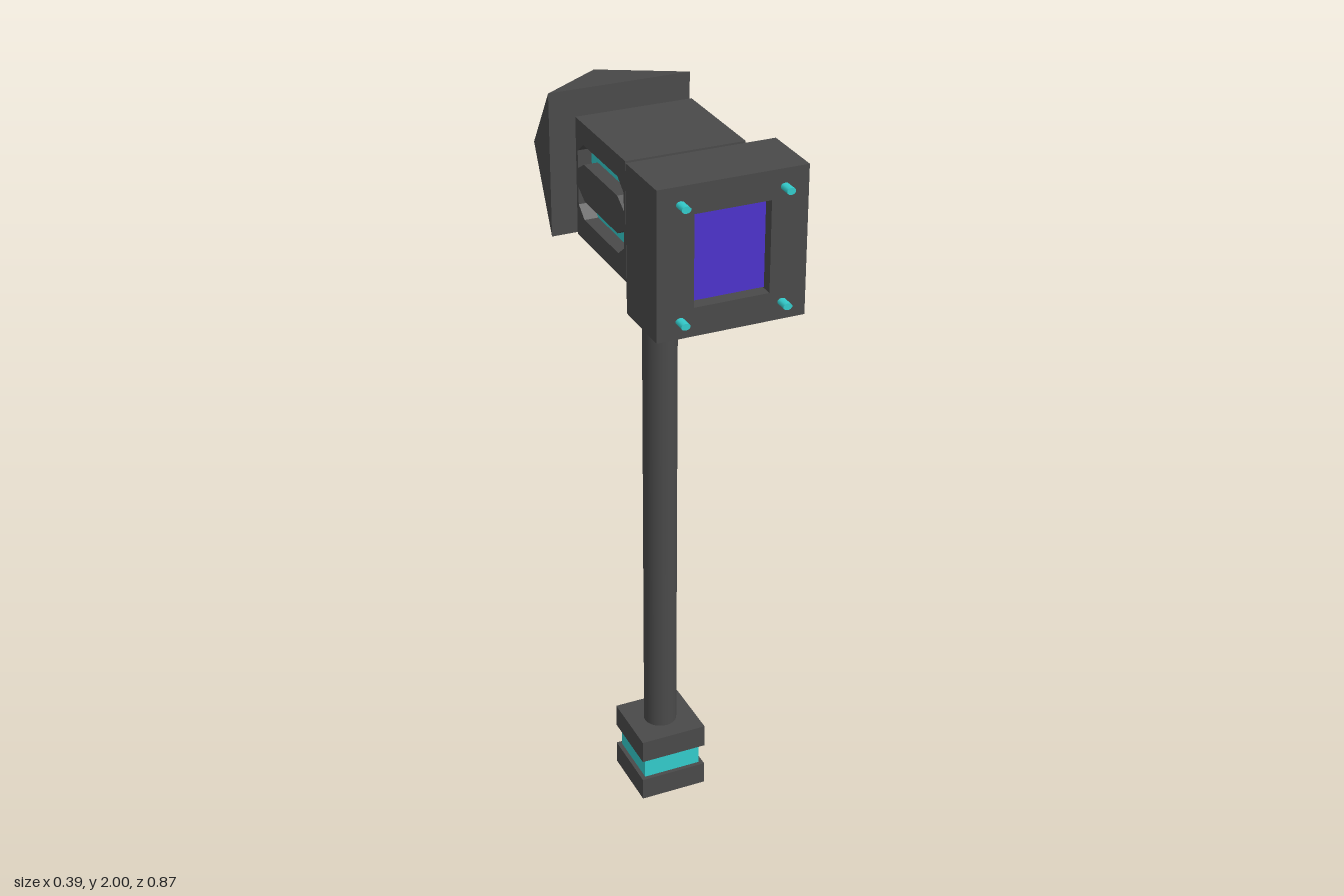
import * as THREE from 'three';

const dark = new THREE.MeshStandardMaterial({ color: 0x4a4a4a });
const darkFlat = new THREE.MeshStandardMaterial({ color: 0x4a4a4a, flatShading: true });
const teal = new THREE.MeshStandardMaterial({ color: 0x33cccc });
const blue = new THREE.MeshStandardMaterial({ color: 0x4d33cc });
const grey = new THREE.MeshStandardMaterial({ color: 0xcccccc });

const HEAD_Y = 1.808; // centre line of the head
const MID_Z = -0.015; // handle axis

export function createModel() {
  const model = new THREE.Group();
  const add = (name, geometry, material, x = 0, y = 0, z = 0) => {
    const mesh = new THREE.Mesh(geometry, material);
    mesh.name = name;
    mesh.position.set(x, y, z);
    model.add(mesh);
    return mesh;
  };
  // box given by its size in x, and its ranges in y and z
  const box = (name, material, w, y0, y1, z0, z1) =>
    add(name, new THREE.BoxGeometry(w, y1 - y0, z1 - z0), material, 0, (y0 + y1) / 2, (z0 + z1) / 2);
  const polygon = (points, Type = THREE.Shape) => new Type(points.map(([x, y]) => new THREE.Vector2(x, y)));
  const rect = (w, h) => [[-w, -h], [w, -h], [w, h], [-w, h]];

  // Handle and pommel
  add('handle', new THREE.CylinderGeometry(0.046, 0.046, 1.5, 24), dark, 0, 0.93, MID_Z);
  const pommelPart = (name, material, r, y0, y1) => box(name, material, r * 2, y0, y1, MID_Z - r, MID_Z + r);
  pommelPart('pommelBase', dark, 0.095, 0, 0.066);
  pommelPart('pommelBand', teal, 0.083, 0.066, 0.13);
  pommelPart('pommelTop', dark, 0.095, 0.13, 0.197);

  // Neck through the head, with bands
  box('neck', dark, 0.23, 1.692, 1.924, -0.27, 0.235);
  for (const [z0, z1] of [[0.165, 0.197], [-0.21, -0.191], [-0.244, -0.226]])
    box('neckBand', teal, 0.233, 1.6905, 1.9255, z0, z1);

  // Middle block: core and two slotted side plates
  box('middleCore', dark, 0.236, 1.654, 1.966, -0.173, 0.139);
  const slot = [[-0.145, 0.025], [-0.105, 0.049], [0.105, 0.049], [0.145, 0.025],
    [0.145, 0.072], [0.108, 0.1], [-0.108, 0.1], [-0.145, 0.072]];
  const plate = polygon(rect(0.156, 0.156));
  plate.holes.push(polygon(slot, THREE.Path), polygon(slot.map(([x, y]) => [x, -y]), THREE.Path));
  const plateGeo = new THREE.ExtrudeGeometry(plate, { depth: 0.039, bevelEnabled: false });
  plateGeo.translate(0, 0, 0.118).rotateY(Math.PI / 2);
  for (const side of [1, -1]) {
    const mesh = add('sidePlate', plateGeo, dark, 0, HEAD_Y + 0.002, -0.017);
    if (side < 0) mesh.rotation.y = Math.PI;
    add('slotGlow', new THREE.BoxGeometry(0.003, 0.22, 0.3), teal, side * 0.1185, HEAD_Y + 0.002, -0.017);
  }

  // Front block with recessed window and studs
  const frame = polygon(rect(0.193, 0.192));
  frame.holes.push(polygon(rect(0.098, 0.118), THREE.Path));
  add('frontFrame', new THREE.ExtrudeGeometry(frame, { depth: 0.04, bevelEnabled: false }), dark, 0, HEAD_Y, 0.361);
  box('frontBlock', dark, 0.386, HEAD_Y - 0.192, HEAD_Y + 0.192, 0.226, 0.361);
  add('window', new THREE.BoxGeometry(0.196, 0.236, 0.01), blue, 0, HEAD_Y + 0.003, 0.366);
  const studGeo = new THREE.CylinderGeometry(0.012, 0.012, 0.05, 10).rotateX(Math.PI / 2).scale(1, 0.75, 1);
  for (const x of [-0.133, 0.131])
    for (const y of [1.662, 1.955]) add('stud', studGeo, teal, x, y, 0.409);

  // Rear nozzle: square section lofted to an octagonal rim, then into the bore
  const ring = (r, z, square) => Array.from({ length: 8 }, (_, j) => {
    const a = j * Math.PI / 4, k = square && j % 2 ? r * Math.SQRT2 : r;
    return [Math.cos(a) * k, Math.sin(a) * k, z];
  });
  const rings = [ring(0, -0.262), ring(0.193, -0.262, true), ring(0.17, -0.434),
    ring(0.146, -0.434), ring(0.146, -0.405)];
  const verts = [];
  for (let i = 0; i < rings.length - 1; i++)
    for (let j = 0; j < 8; j++) {
      const n = (j + 1) % 8;
      const a = rings[i][j], b = rings[i][n], c = rings[i + 1][n], d = rings[i + 1][j];
      const tris = j % 2 ? [a, d, c, a, c, b] : [a, d, b, d, c, b];
      verts.push(...tris.flat());
    }
  const nozzleGeo = new THREE.BufferGeometry();
  nozzleGeo.setAttribute('position', new THREE.Float32BufferAttribute(verts, 3));
  nozzleGeo.computeVertexNormals();
  add('nozzle', nozzleGeo, darkFlat, 0, HEAD_Y, 0);
  add('nozzleLens', new THREE.CircleGeometry(0.147, 8).rotateY(Math.PI), grey, 0, HEAD_Y, -0.406);

  // Small teeth inside the rim
  for (let j = 0; j < 8; j++) {
    const a = j * Math.PI / 4;
    const tooth = add('rimTooth', new THREE.BoxGeometry(0.014, 0.02, 0.026), dark,
      Math.cos(a) * 0.139, HEAD_Y + Math.sin(a) * 0.139, -0.419);
    tooth.rotation.z = a;
  }

  return model;
}
